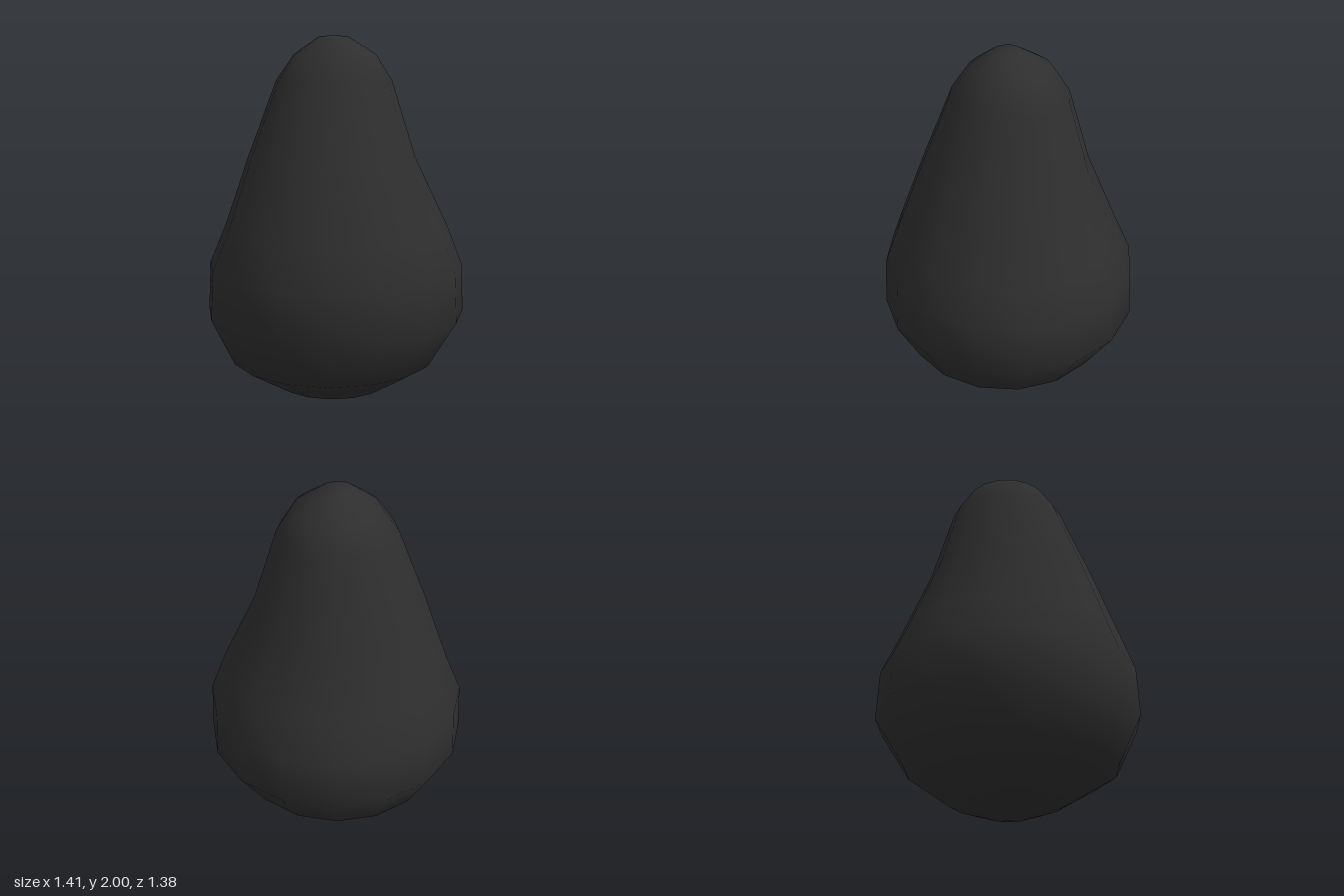
import * as THREE from 'three';
import { mergeVertices } from 'three/addons/utils/BufferGeometryUtils.js';

// Profile rings from bottom to top: height, radius, x offset, z offset
const RINGS = [
  [0, 0, -0.01, 0],
  [0.02, 0.1, -0.01, 0],
  [0.09, 0.305, -0.01, -0.01],
  [0.255, 0.56, -0.02, 0.01],
  [0.51, 0.703, 0, 0],
  [0.77, 0.69, 0, 0],
  [0.98, 0.605, 0, 0.01],
  [1.355, 0.45, -0.025, 0.005],
  [1.76, 0.31, -0.005, -0.01],
  [1.9, 0.218, 0, -0.01],
  [1.99, 0.08, -0.01, 0],
  [2, 0, -0.01, 0],
];
const SIDES = 16;

// Turned body whose rings are nudged sideways for a natural, uneven fruit shape
function fruitGeometry() {
  const profile = RINGS.map(([y, r]) => new THREE.Vector2(r, y));
  const lathe = new THREE.LatheGeometry(profile, SIDES);
  const pos = lathe.attributes.position;
  for (let i = 0; i < pos.count; i++) {
    const [, , dx, dz] = RINGS[i % RINGS.length];
    pos.setX(i, pos.getX(i) + dx);
    pos.setZ(i, pos.getZ(i) * 0.985 + dz);
  }
  // Weld the seam and poles so the skin shades smoothly
  lathe.deleteAttribute('uv');
  lathe.deleteAttribute('normal');
  const geometry = mergeVertices(lathe, 1e-4);
  geometry.computeVertexNormals();
  return geometry;
}

export function createModel() {
  const skin = new THREE.MeshStandardMaterial({ color: 0x2e2e2e });
  skin.name = 'dark skin';

  const model = new THREE.Group();
  model.name = 'fruit';
  const body = new THREE.Mesh(fruitGeometry(), skin);
  body.name = 'fruitBody';
  model.add(body);
  return model;
}
